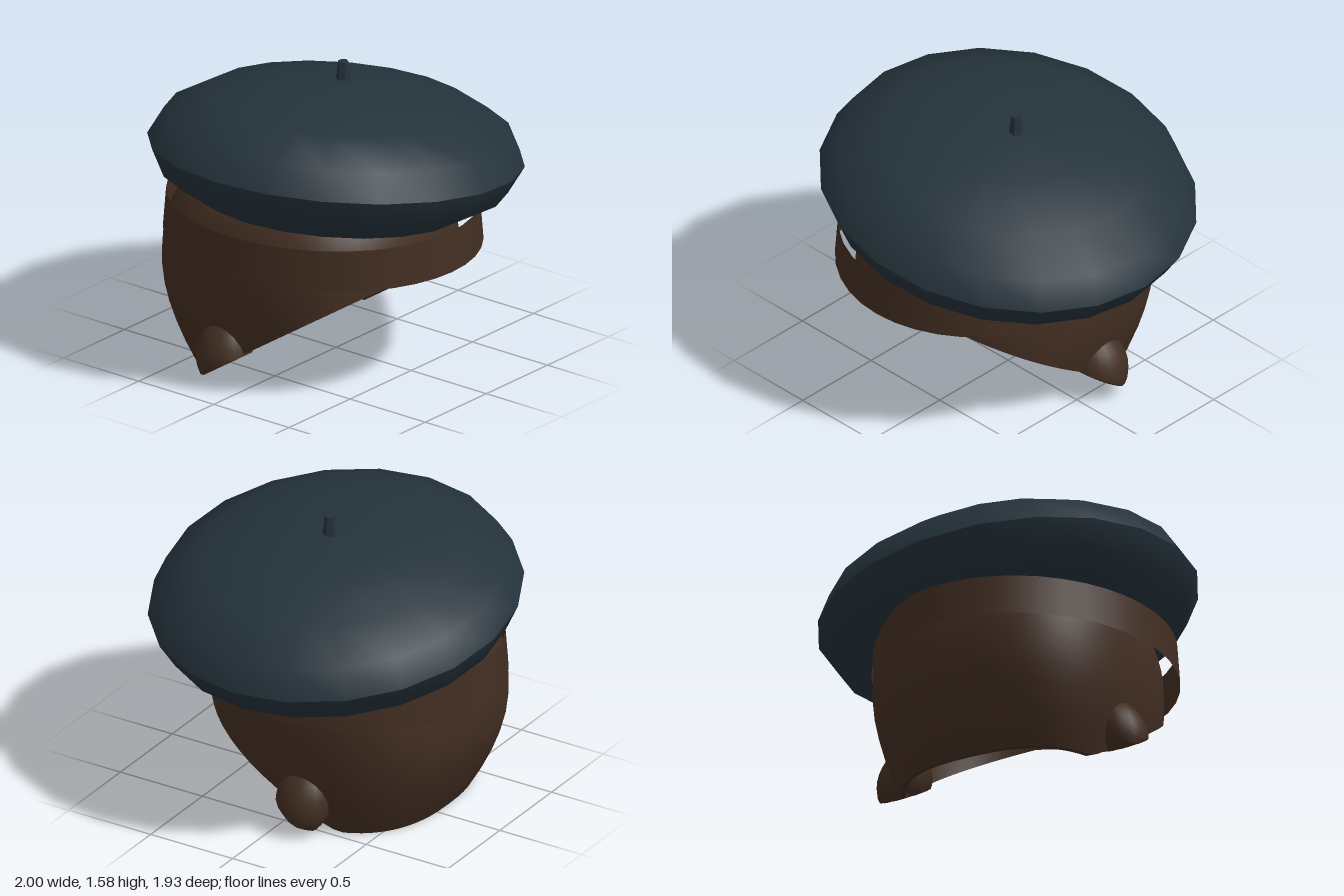
import * as THREE from 'three';
import { toCreasedNormals } from 'three/addons/utils/BufferGeometryUtils.js';
import { ParametricGeometry } from 'three/addons/geometries/ParametricGeometry.js';

const HEAD_X = -0.105; // the hair and band sit slightly off centre
const HEAD_Z = -0.08;

// Height of the slanted lower edge of the hair at depth z
const cutHeight = (z) => Math.max(0, 0.2 + 0.65 * z);

// Rounded-square power of a sine or cosine
const soft = (c) => Math.sign(c) * Math.abs(c) ** 0.8;

// Half width and half depth of the hair at height y
function hairRadii(y, top) {
  if (y > 0.5) {
    const k = Math.sqrt(Math.max(0, 1 - ((y - 0.5) / (top - 0.5)) ** 3));
    return [0.705 * k, 0.73 * k];
  }
  const low = ((0.5 - y) / 0.5) ** 1.7;
  return [0.705 * (1 - 0.16 * low), 0.73 * (1 - 0.26 * low)];
}

// Thin hair shell: inner dome down to the rim, then back up the outer dome
function hairGeometry() {
  const rows = 18;
  const slices = rows * 2 + 1;
  const geo = new ParametricGeometry((u, v, target) => {
    const a = u * Math.PI * 2;
    const row = v * slices;
    const inner = row < rows + 0.5;
    const h = Math.min(1, Math.max(0, inner ? row / rows : (slices - row) / rows));
    const scale = inner ? 0.95 : 1;
    const top = inner ? 1.12 : 1.16;
    const depth = soft(Math.sin(a)) * scale;
    let rim = 0.3;
    for (let i = 0; i < 20; i++) rim = cutHeight(HEAD_Z + hairRadii(rim, top)[1] * depth);
    const y = rim + (top - rim) * Math.cos(h * Math.PI / 2);
    const [rx, rz] = hairRadii(y, top);
    target.set(HEAD_X + rx * soft(Math.cos(a)) * scale, y, HEAD_Z + rz * depth);
  }, 64, slices);
  return toCreasedNormals(geo, 0.8);
}

// Tuft over the ear: an ellipsoid trimmed along the slanted lower edge
function tuftGeometry(side) {
  const geo = new THREE.SphereGeometry(1, 20, 14);
  geo.scale(0.14, 0.18, 0.15);
  geo.translate(HEAD_X + side * 0.64, 0.18, -0.14);
  const p = geo.attributes.position;
  for (let i = 0; i < p.count; i++) {
    const z = p.getZ(i);
    // lean the upper half inwards and keep the tuft above the cut
    const y = Math.max(p.getY(i), cutHeight(z) - 0.01, 0.04);
    p.setX(i, p.getX(i) - side * 0.2 * (y - 0.16));
    p.setY(i, y);
  }
  return toCreasedNormals(geo, 0.8);
}

export function createModel() {
  const felt = new THREE.MeshStandardMaterial({ color: 0x24323b });
  const brown = new THREE.MeshStandardMaterial({ color: 0x412d21, side: THREE.DoubleSide });
  felt.name = 'dark blue felt';
  brown.name = 'dark brown';

  const model = new THREE.Group();
  model.name = 'beretAndHair';
  const add = (name, geometry, material) => {
    const mesh = new THREE.Mesh(geometry, material);
    mesh.name = name;
    model.add(mesh);
    return mesh;
  };

  // Tilted flattened beret with a crease round its widest edge
  const crown = new THREE.SphereGeometry(1, 20, 8);
  crown.scale(1.008, 0.383, 0.963);
  const beret = add('beret', toCreasedNormals(crown, 0.75), felt);
  beret.position.y = 1.103;
  beret.rotation.z = -0.137;

  // Stem on top
  const stemGeo = new THREE.CylinderGeometry(0.027, 0.042, 0.14, 6);
  stemGeo.rotateY(Math.PI / 6);
  const stem = add('stem', toCreasedNormals(stemGeo, 0.5), felt);
  stem.position.set(0.058, 1.51, 0);

  // Open head band
  const bandGeo = new THREE.CylinderGeometry(0.98, 1, 0.218, 40, 1, true);
  bandGeo.scale(0.78, 1, 0.858);
  const band = add('headBand', bandGeo, brown);
  band.position.set(HEAD_X, 0.784, 0);

  // Hair with a tuft over each ear
  add('hair', hairGeometry(), brown);
  add('leftEarTuft', tuftGeometry(1), brown);
  add('rightEarTuft', tuftGeometry(-1), brown);

  return model;
}
